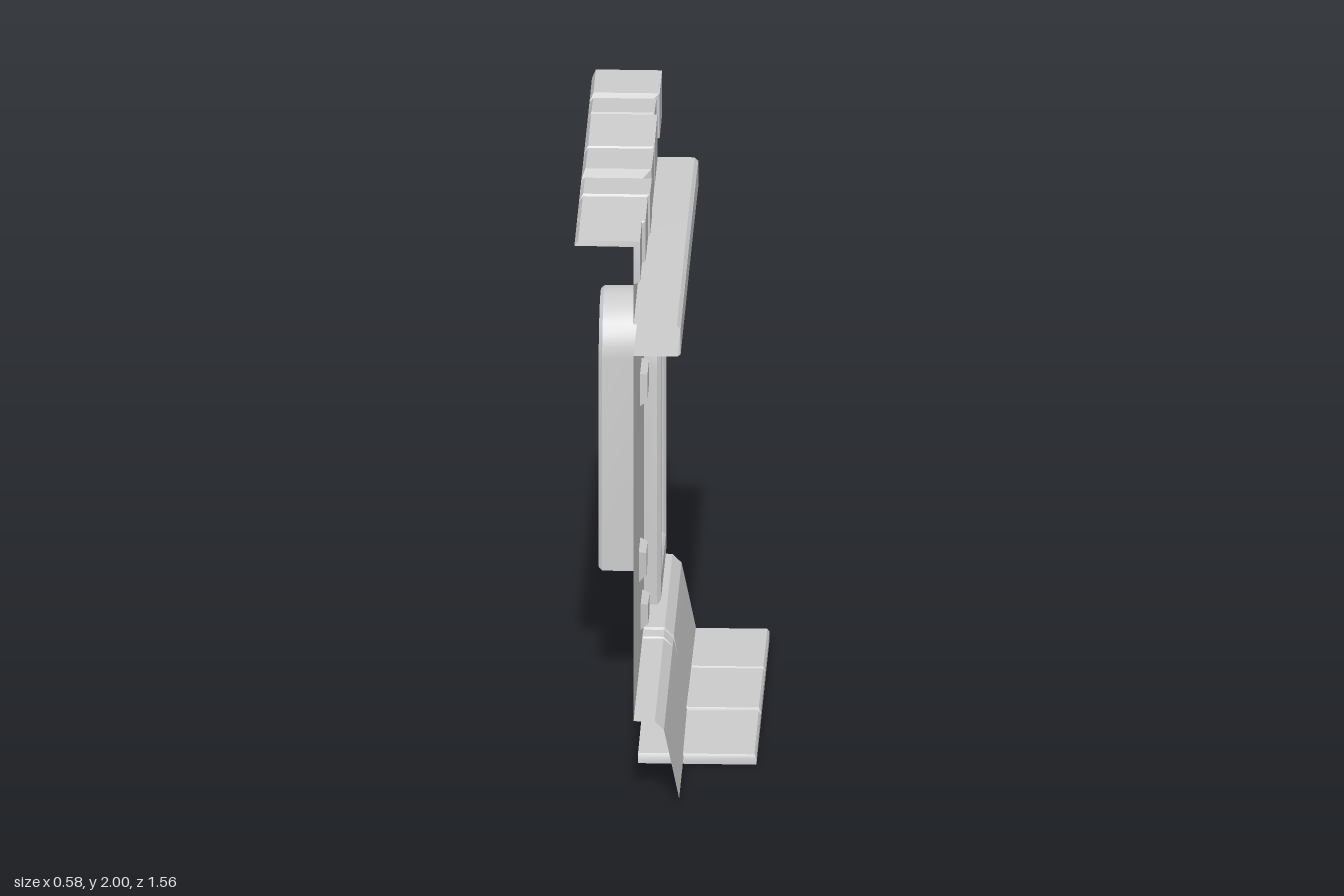
import * as THREE from 'three';
import { toCreasedNormals } from 'three/addons/utils/BufferGeometryUtils.js';

const WALL = -0.1; // x of the wall plane
const END = 0.78;  // half length along z
const material = new THREE.MeshStandardMaterial({ color: 0xcccccc, side: THREE.DoubleSide });

// Surface through rows of [x, y, z] points
function loft(rows) {
  const n = rows[0].length, index = [];
  for (let r = 0; r < rows.length - 1; r++) {
    for (let i = 0; i < n - 1; i++) {
      const a = r * n + i, b = a + n;
      index.push(a, b, a + 1, a + 1, b, b + 1);
    }
  }
  const g = new THREE.BufferGeometry();
  g.setAttribute('position', new THREE.Float32BufferAttribute(rows.flat(2), 3));
  g.setIndex(index);
  return toCreasedNormals(g, 0.5);
}

const at = (profile, z) => profile.map(([x, y]) => [x, y, z]);

// Closed arch loop of [z, y] points, shrunk by inset
function arch(inset) {
  const r = 0.267 - inset, pts = [], cz = -0.388, spring = 1.193;
  pts.push([cz + r, 0.365 + inset]);
  for (let i = 0; i <= 14; i++) {
    const a = (i / 14) * Math.PI;
    pts.push([cz + r * Math.cos(a), spring + r * Math.sin(a)]);
  }
  pts.push([cz - r, 0.365 + inset]);
  return pts;
}

export function createModel() {
  const model = new THREE.Group();
  const add = (name, geometry) => {
    const mesh = new THREE.Mesh(geometry, material);
    mesh.name = name;
    model.add(mesh);
    return mesh;
  };

  // Raised bricks: outer and face corners as [z, y]
  const bricks = [
    [[[0.215, 1.19], [0.205, 1.3], [0.055, 1.3], [0.037, 1.205]],
      [[0.205, 1.202], [0.195, 1.293], [0.06, 1.293], [0.046, 1.212]]],
    [[[0.322, 0.61], [0.32, 0.716], [0.18, 0.716], [0.192, 0.61]],
      [[0.304, 0.63], [0.302, 0.706], [0.19, 0.706], [0.199, 0.63]]],
    [[[0.155, 0.38], [0.155, 0.472], [0.005, 0.466], [-0.01, 0.37]],
      [[0.142, 0.396], [0.142, 0.464], [0.013, 0.458], [0.0, 0.386]]],
  ];
  // Nested closed loops, ending in a flat cap
  const relief = (loops) => {
    const rows = loops.map(([x, pts]) => [...pts, pts[0]].map(([z, y]) => [x, y, z]));
    const last = rows[rows.length - 1];
    const mid = [0, 1, 2].map((k) => last.slice(1).reduce((s, p) => s + p[k], 0) / (last.length - 1));
    rows.push(last.map(() => mid));
    return loft(rows);
  };
  bricks.forEach(([outer, face]) => add('raisedBrick', relief([[WALL, outer], [-0.076, face]])));

  // Wall sheet with openings behind the window and the bricks
  const toShape = ([z, y]) => new THREE.Vector2(-z, y);
  const wall = new THREE.Shape([[END, 0.295], [-END, 0.295], [-END, 1.58], [END, 1.58]].map(toShape));
  [arch(0), ...bricks.map((b) => b[0])].forEach((loop) => wall.holes.push(new THREE.Path(loop.map(toShape))));
  add('wall', new THREE.ShapeGeometry(wall).rotateY(Math.PI / 2)).position.x = WALL;

  // Arched window frame and its recess
  add('windowNiche', relief([
    [WALL, arch(0)], [-0.056, arch(0)], [-0.044, arch(0.012)],
    [-0.044, arch(0.075)], [-0.052, arch(0.085)],
    [-0.24, arch(0.085)], [-0.252, arch(0.095)],
  ]));

  // Slightly bowed cornice
  const cornice = [[END, 1.58, 1.69], [0.35, 1.581, 1.693], [0, 1.588, 1.7], [-0.35, 1.586, 1.699], [-END, 1.58, 1.691]];
  add('cornice', loft(cornice.map(([z, lo, hi]) => at([
    [WALL, lo], [0.045, lo], [0.055, lo + 0.008], [0.055, hi - 0.012], [0.043, hi], [WALL, hi],
  ], z))));

  // Wall band above the cornice
  add('upperWall', loft([END, -END].map((z) => at([[WALL, 1.69], [WALL, 1.835]], z))));

  // Coping stones: [z start, z end, top at start, top at end, front x, bottom]
  const stones = [
    [0.78, 0.597, 1.982, 1.99, -0.079, 1.838], [0.597, 0.367, 1.98, 1.987, -0.068, 1.838],
    [0.367, 0.165, 1.987, 1.976, -0.062, 1.842], [0.165, -0.083, 2, 1.987, -0.064, 1.845],
    [-0.083, -0.366, 1.985, 2, -0.064, 1.838], [-0.366, -0.553, 1.998, 1.985, -0.074, 1.845],
    [-0.553, -0.78, 1.995, 1.997, -0.064, 1.838],
  ];
  for (const [z0, z1, t0, t1, x, low] of stones) {
    const bed = [[WALL, 1.832], [WALL, 1.832], [WALL, 1.963], [-0.295, 1.965], [-0.295, 1.965]];
    const block = (t) => [[WALL, 1.832], [x, low], [x, t], [-0.282, t], [-0.295, 1.965]];
    const gap0 = z0 === END ? 0.004 : 0.014, gap1 = z1 === -END ? 0.004 : 0.01;
    add('copingStone', loft([at(bed, z0), at(block(t0), z0 - gap0), at(block(t1), z1 + gap1), at(bed, z1)]));
  }

  // Sloping plinth with two cracks: [z, half width, taper per point, depth]
  const plinth = [[0.05, 0.025], [0.015, 0.195], [0, 0.265], [-0.03, 0.295], [WALL, 0.295]];
  const rows = [at(plinth, END)];
  for (const [z, half, taper, depth] of [[0, 0.008, [0, 0, 0, 1, 1], 0.012], [-0.085, 0.013, [0, 0, 1, 1, 1], 0.014]]) {
    for (const side of [1, 0, -1]) {
      rows.push(plinth.map(([x, y], i) => {
        const sink = side === 0 ? taper[i] * depth : 0;
        return [i < 4 ? x - sink * 0.7 : x, y - sink * 0.8, z + side * half * taper[i]];
      }));
    }
  }
  rows.push(at(plinth, -END));
  add('plinth', loft(rows));

  // Paving slabs, open underneath: [z start, z end, top at start, top at end]
  for (const [z0, z1, t0, t1] of [[0.39, 0.002, 0.034, 0.042], [-0.002, -0.396, 0.05, 0.043], [-0.4, -0.78, 0.044, 0.038]]) {
    const rim = (t) => [[0.29, 0], [0.29, t - 0.012], [0.29, t - 0.012], [WALL, t - 0.012]];
    const top = (t) => [[0.29, 0], [0.29, t - 0.012], [0.283, t], [WALL, t]];
    const ground = [[0.29, 0], [0.29, 0], [0.29, 0], [WALL, 0]];
    add('pavingSlab', loft([
      at(ground, z0), at(rim(t0), z0), at(top(t0), z0 - 0.006),
      at(top(t1), z1 + 0.006), at(rim(t1), z1), at(ground, z1),
    ]));
  }
  return model;
}
